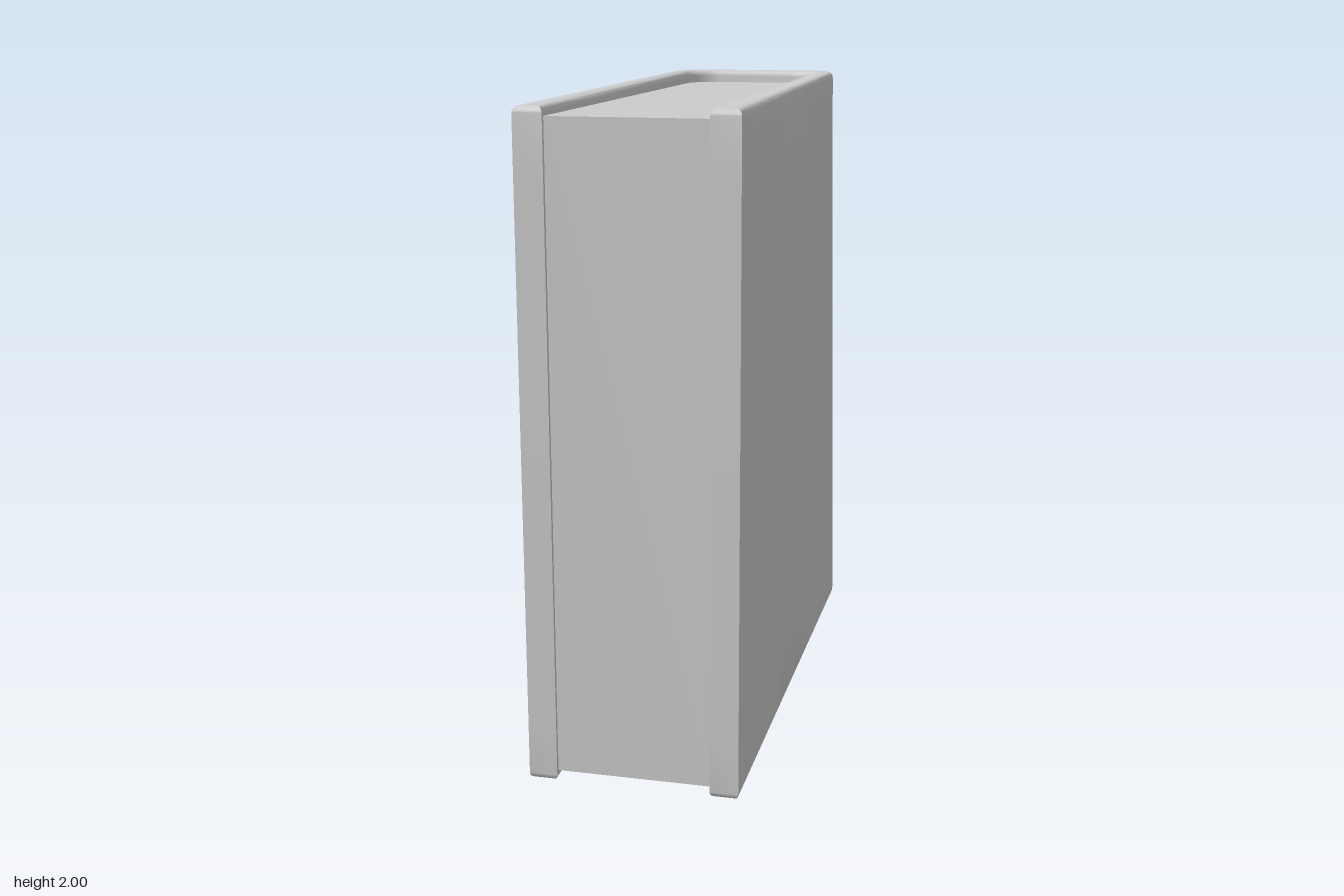
import * as THREE from 'three';
import { mergeVertices, toCreasedNormals } from 'three/addons/utils/BufferGeometryUtils.js';

const FRONT = 0.925, BACK = -0.925, INNER = 0.23, OUTER = 0.315;

// Points of a U outline in plan (x, -z), from front left round the back to front right
function uOutline(halfWidth, back, front, radius) {
  const points = [];
  const steps = 12, arc = 10;
  for (let i = 0; i < steps; i++) {
    points.push(new THREE.Vector2(halfWidth, -THREE.MathUtils.lerp(front, back + radius, i / steps)));
  }
  for (let i = 0; i <= arc; i++) {
    const a = (i / arc) * Math.PI / 2;
    points.push(new THREE.Vector2(halfWidth - radius + radius * Math.cos(a), -back - radius + radius * Math.sin(a)));
  }
  const mirrored = points.map((p) => new THREE.Vector2(-p.x, p.y)).reverse();
  return points.concat(mirrored);
}

// Extrude a plan outline upwards from y = bottom to y = top
function extrudeUp(points, bottom, top, bevel, steps) {
  const geometry = new THREE.ExtrudeGeometry(new THREE.Shape(points), {
    depth: top - bottom - 2 * bevel,
    steps,
    bevelEnabled: bevel > 0,
    bevelSize: bevel,
    bevelThickness: bevel,
    bevelOffset: -bevel,
    bevelSegments: 5,
  });
  geometry.rotateX(-Math.PI / 2);
  geometry.translate(0, bottom + bevel, 0);
  return geometry;
}

// Weld and smooth, keeping sharp edges
function smooth(geometry) {
  geometry.deleteAttribute('normal');
  geometry.deleteAttribute('uv');
  return toCreasedNormals(mergeVertices(geometry, 1e-5), 0.6);
}

// Cover: wraps both sides and the spine; the spine flares at its foot and is slightly taller
function coverGeometry() {
  const outer = uOutline(OUTER, BACK, FRONT, 0.12);
  const inner = uOutline(INNER, -0.865, FRONT, 0.1).reverse();
  const geometry = extrudeUp(outer.concat(inner), 0, 2, 0.02, 10);
  const p = geometry.attributes.position;
  for (let i = 0; i < p.count; i++) {
    const x = p.getX(i), y = p.getY(i);
    const toBack = THREE.MathUtils.clamp((FRONT - p.getZ(i)) / (FRONT - BACK), 0, 1);
    const weight = Math.max(0, (Math.abs(x) - INNER) / (OUTER - INNER));
    p.setX(i, x + Math.sign(x) * weight * toBack * 0.02 * (1 - y));
    p.setY(i, 1 + (y - 1) * (0.985 + 0.015 * toBack));
  }
  return smooth(geometry);
}

export function createModel() {
  const group = new THREE.Group();
  group.name = 'book';
  const material = new THREE.MeshStandardMaterial({ color: 0xcccccc });

  const cover = new THREE.Mesh(coverGeometry(), material);
  cover.name = 'cover';

  // Page block set just inside the cover
  const pageOutline = uOutline(INNER + 0.001, -0.866, 0.912, 0.1);
  const pages = new THREE.Mesh(smooth(extrudeUp(pageOutline, 0.045, 1.957, 0, 1)), material);
  pages.name = 'pages';

  group.add(cover, pages);
  return group;
}
